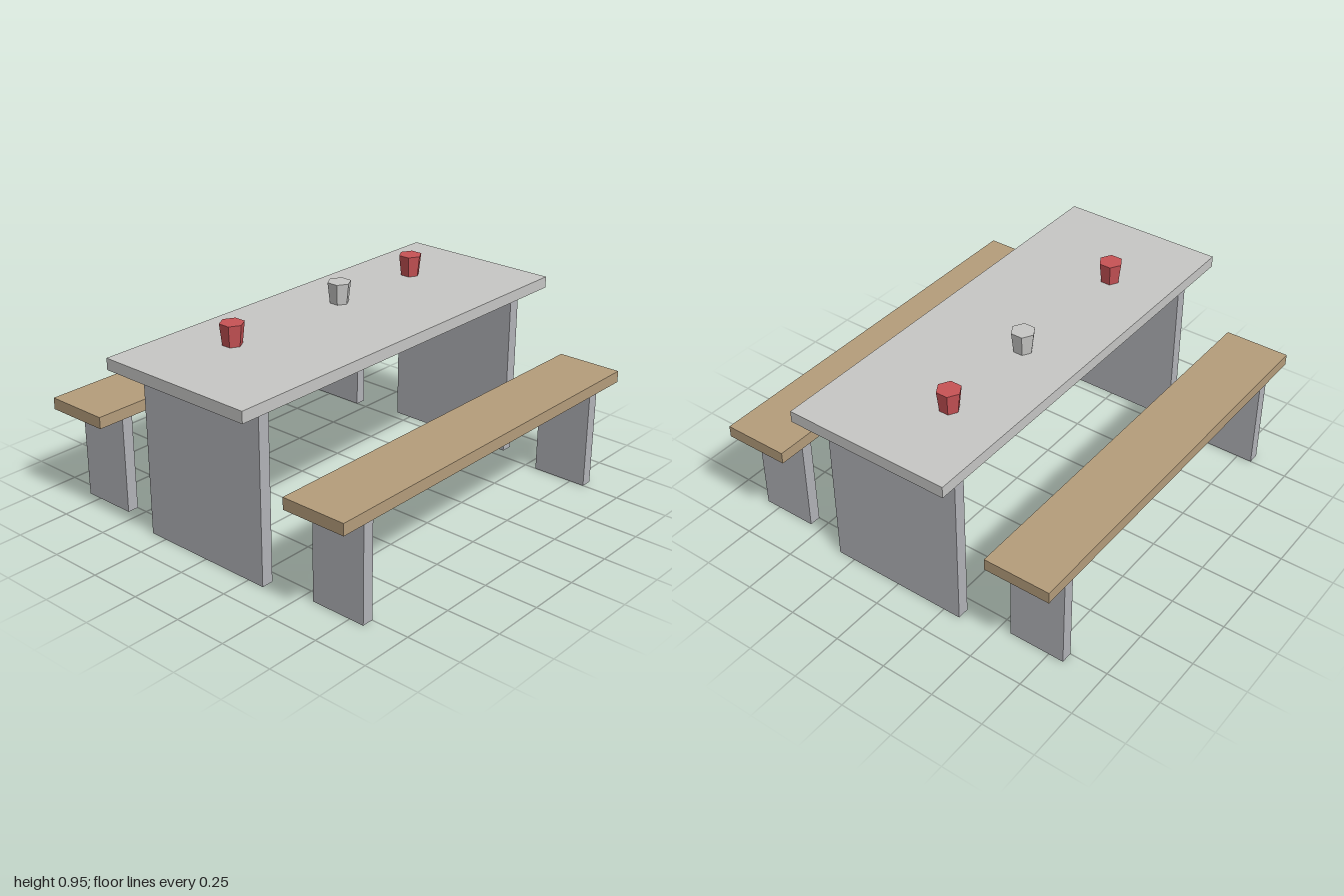
import * as THREE from 'three';

const material = (name, color) => {
  const m = new THREE.MeshStandardMaterial({ color });
  m.name = name;
  return m;
};

export function createModel() {
  const model = new THREE.Group();
  model.name = 'picnicTable';

  const stone = material('paleStone', 0xc8c8c6);
  const concrete = material('greyConcrete', 0xb3b4b9);
  const wood = material('wood', 0xb69e7c);
  const red = material('red', 0xc95356);

  // Box given by its centre in x and z, and its bottom and top heights
  const addBox = (parent, name, mat, width, depth, bottom, top, x = 0, z = 0) => {
    const mesh = new THREE.Mesh(new THREE.BoxGeometry(width, top - bottom, depth), mat);
    mesh.position.set(x, (bottom + top) / 2, z);
    mesh.name = name;
    parent.add(mesh);
  };

  // Table: slab top on two wide panel legs
  const table = new THREE.Group();
  table.name = 'table';
  addBox(table, 'tableTop', stone, 2, 0.776, 0.798, 0.851);
  for (const s of [-1, 1]) addBox(table, 'tableLeg', concrete, 0.056, 0.664, 0, 0.798, s * 0.831);
  model.add(table);

  // Benches in front and behind
  for (const side of [-1, 1]) {
    const bench = new THREE.Group();
    bench.name = side > 0 ? 'frontBench' : 'backBench';
    bench.position.z = side * 0.689;
    addBox(bench, 'benchSeat', wood, 1.886, 0.308, 0.465, 0.519);
    for (const s of [-1, 1]) addBox(bench, 'benchLeg', concrete, 0.054, 0.264, 0, 0.465, s * 0.776);
    model.add(bench);
  }

  // Six-sided tapered cups standing on the table
  const cupGeometry = new THREE.CylinderGeometry(0.055, 0.044, 0.097, 6).toNonIndexed();
  cupGeometry.computeVertexNormals();
  for (const [x, mat] of [[-0.557, red], [0.109, stone], [0.608, red]]) {
    const cup = new THREE.Mesh(cupGeometry, mat);
    cup.position.set(x, 0.8995, -0.112);
    cup.name = 'cup';
    model.add(cup);
  }

  return model;
}
